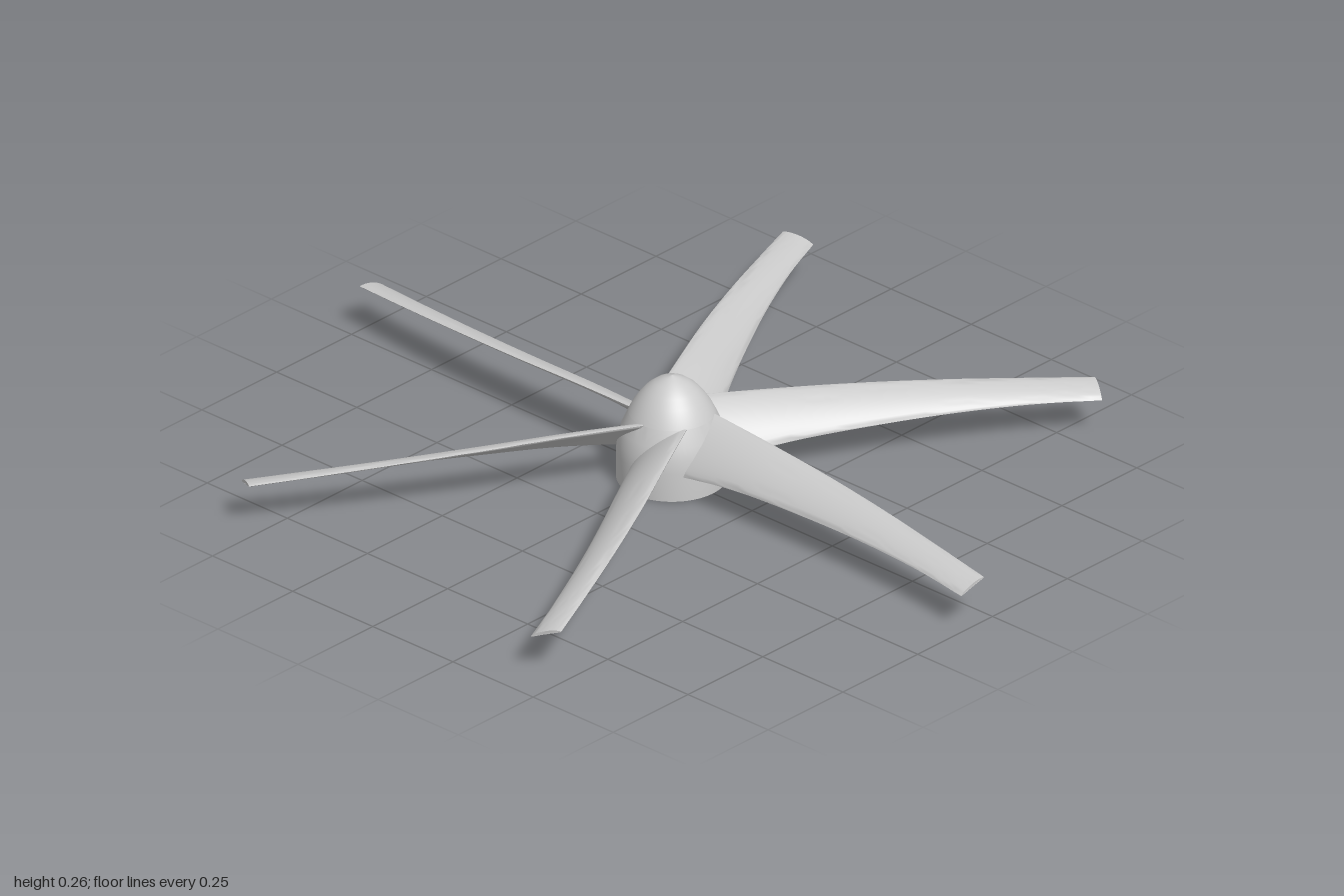
import * as THREE from 'three';
import { toCreasedNormals } from 'three/addons/utils/BufferGeometryUtils.js';

const material = new THREE.MeshStandardMaterial({ color: 0xcccccc });
const curve = (points) => new THREE.CatmullRomCurve3(points.map((p) => new THREE.Vector3(...p)));

// Twisted blade pointing to +z, lofted between its low and high edges
function bladeGeometry() {
  const low = curve([[-0.075, 0.055, 0.06], [-0.068, 0.08, 0.25], [-0.066, 0.09, 0.45],
    [-0.07, 0.095, 0.65], [-0.083, 0.095, 0.85], [-0.1, 0.09, 1]]);
  const high = curve([[0.055, 0.17, 0.06], [0.045, 0.163, 0.25], [0.034, 0.152, 0.45],
    [0.016, 0.139, 0.65], [-0.008, 0.124, 0.85], [-0.028, 0.113, 1]]);
  const rows = 28, sides = 28;
  const positions = [], index = [];
  for (let i = 0; i <= rows; i++) {
    const s = i / rows;
    const a = low.getPoint(s), b = high.getPoint(s);
    const chord = Math.hypot(b.x - a.x, b.y - a.y);
    const nx = -(b.y - a.y) / chord, ny = (b.x - a.x) / chord;
    const half = THREE.MathUtils.lerp(0.011, 0.004, s);
    for (let j = 0; j < sides; j++) {
      // Cambered aerofoil section
      const t = (j / sides) * Math.PI * 2;
      const u = (1 - Math.cos(t)) / 2;
      const lift = half * Math.sin(t) + 0.2 * chord * u * (1 - u);
      const x = a.x + (b.x - a.x) * u + nx * lift;
      const y = a.y + (b.y - a.y) * u + ny * lift;
      // The tip follows a circle of radius 1
      const z = THREE.MathUtils.lerp(a.z, b.z, u) * (1 - s * s * (1 - Math.sqrt(1 - x * x)));
      positions.push(x, y, z);
    }
  }
  for (let i = 0; i < rows; i++) {
    for (let j = 0; j < sides; j++) {
      const k = (j + 1) % sides;
      const a = i * sides + j, b = i * sides + k;
      index.push(a, a + sides, b, b, a + sides, b + sides);
    }
  }
  // Tip cap
  const tip = rows * sides;
  for (let j = 1; j < sides - 1; j++) index.push(tip, tip + j + 1, tip + j);
  const geometry = new THREE.BufferGeometry();
  geometry.setAttribute('position', new THREE.Float32BufferAttribute(positions, 3));
  geometry.setIndex(index);
  return toCreasedNormals(geometry, 0.8);
}

export function createModel() {
  const model = new THREE.Group();
  model.name = 'propeller';

  // Hub with closed base and slightly tapering top
  const hubProfile = [[0, 0], [0.128, 0], [0.128, 0.07], [0.125, 0.1], [0.117, 0.13], [0.1, 0.168]];
  const hub = new THREE.Mesh(
    toCreasedNormals(new THREE.LatheGeometry(hubProfile.map((p) => new THREE.Vector2(...p)), 64), 0.7),
    material);
  hub.name = 'hub';
  model.add(hub);

  // Rounded, slightly pointed nose
  const noseProfile = [[0.1, 0.168], [0.091, 0.186], [0.077, 0.207], [0.06, 0.227],
    [0.04, 0.243], [0.018, 0.254], [0, 0.26]];
  const nose = new THREE.Mesh(
    new THREE.LatheGeometry(noseProfile.map((p) => new THREE.Vector2(...p)), 64), material);
  nose.name = 'noseCone';
  model.add(nose);

  // Six evenly spaced blades
  const geometry = bladeGeometry();
  for (let i = 0; i < 6; i++) {
    const blade = new THREE.Mesh(geometry, material);
    blade.name = `blade${i + 1}`;
    blade.rotation.y = (i * Math.PI) / 3;
    model.add(blade);
  }
  return model;
}
